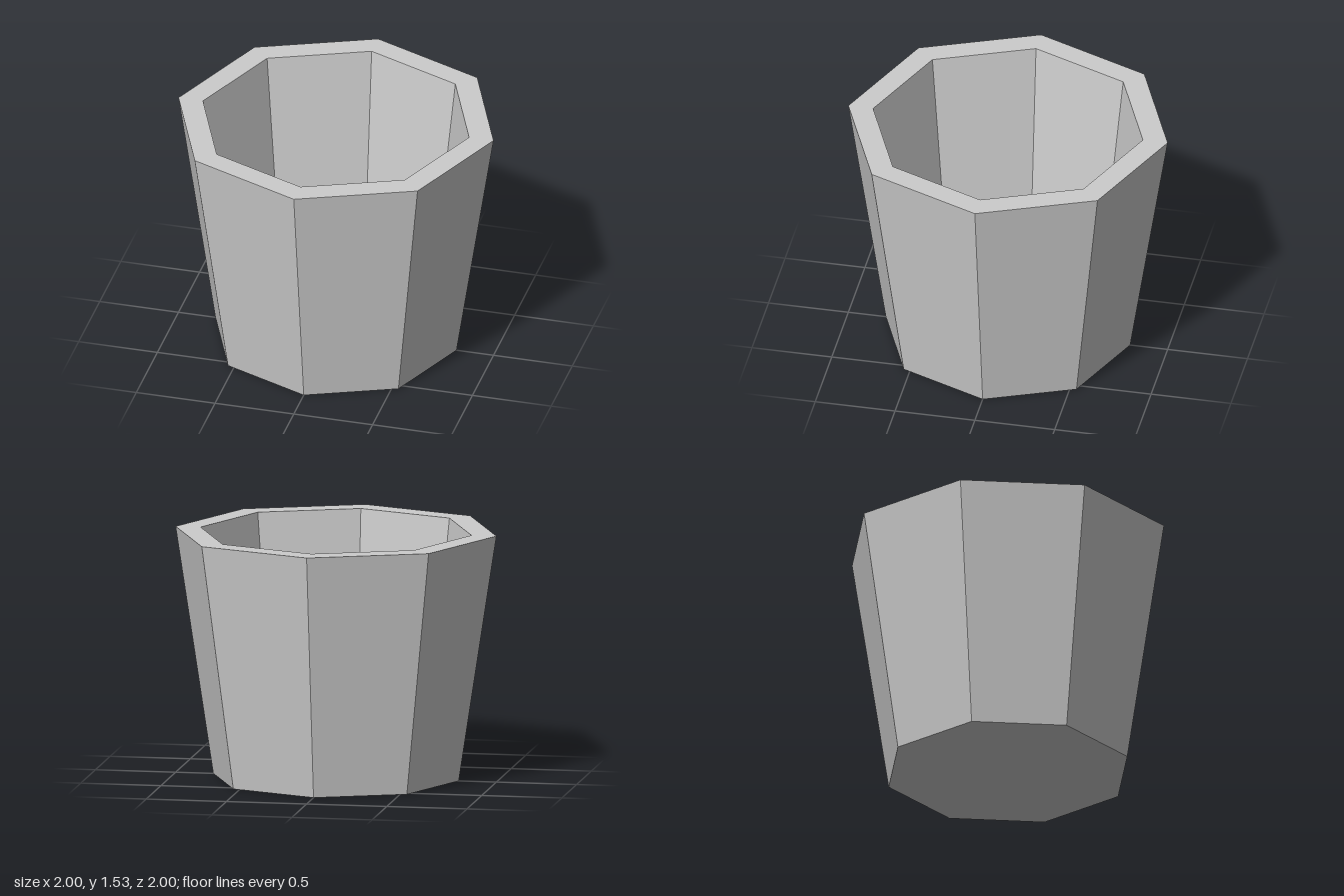
import * as THREE from 'three';

const SIDES = 8;
const HEIGHT = 1.53;
const FLOOR = 0.25;
const BASE_RADIUS = 0.765;
const FLOOR_RADIUS = 0.695;

export function createModel() {
  const group = new THREE.Group();
  group.name = 'pot';
  const grey = new THREE.MeshStandardMaterial({ color: 0xcccccc, flatShading: true });
  grey.name = 'light grey';

  function add(name, geometry) {
    const mesh = new THREE.Mesh(geometry, grey);
    mesh.name = name;
    group.add(mesh);
    return mesh;
  }

  // Tapered wall between two profile points, one flat face per side
  function wall(name, r0, y0, r1, y1) {
    const profile = [new THREE.Vector2(r0, y0), new THREE.Vector2(r1, y1)];
    const geometry = new THREE.LatheGeometry(profile, SIDES).toNonIndexed();
    geometry.computeVertexNormals();
    add(name, geometry);
  }

  // Outside, rim and inside, with corners on the axes
  wall('outerWall', BASE_RADIUS, 0, 1, HEIGHT);
  wall('rim', 1, HEIGHT, 0.845, HEIGHT);
  wall('innerWall', 0.845, HEIGHT, FLOOR_RADIUS, FLOOR);

  // Inner floor faces up, base faces down
  const floor = add('innerFloor', new THREE.CircleGeometry(FLOOR_RADIUS, SIDES));
  floor.rotation.x = -Math.PI / 2;
  floor.position.y = FLOOR;

  const base = add('base', new THREE.CircleGeometry(BASE_RADIUS, SIDES));
  base.rotation.x = Math.PI / 2;

  return group;
}
